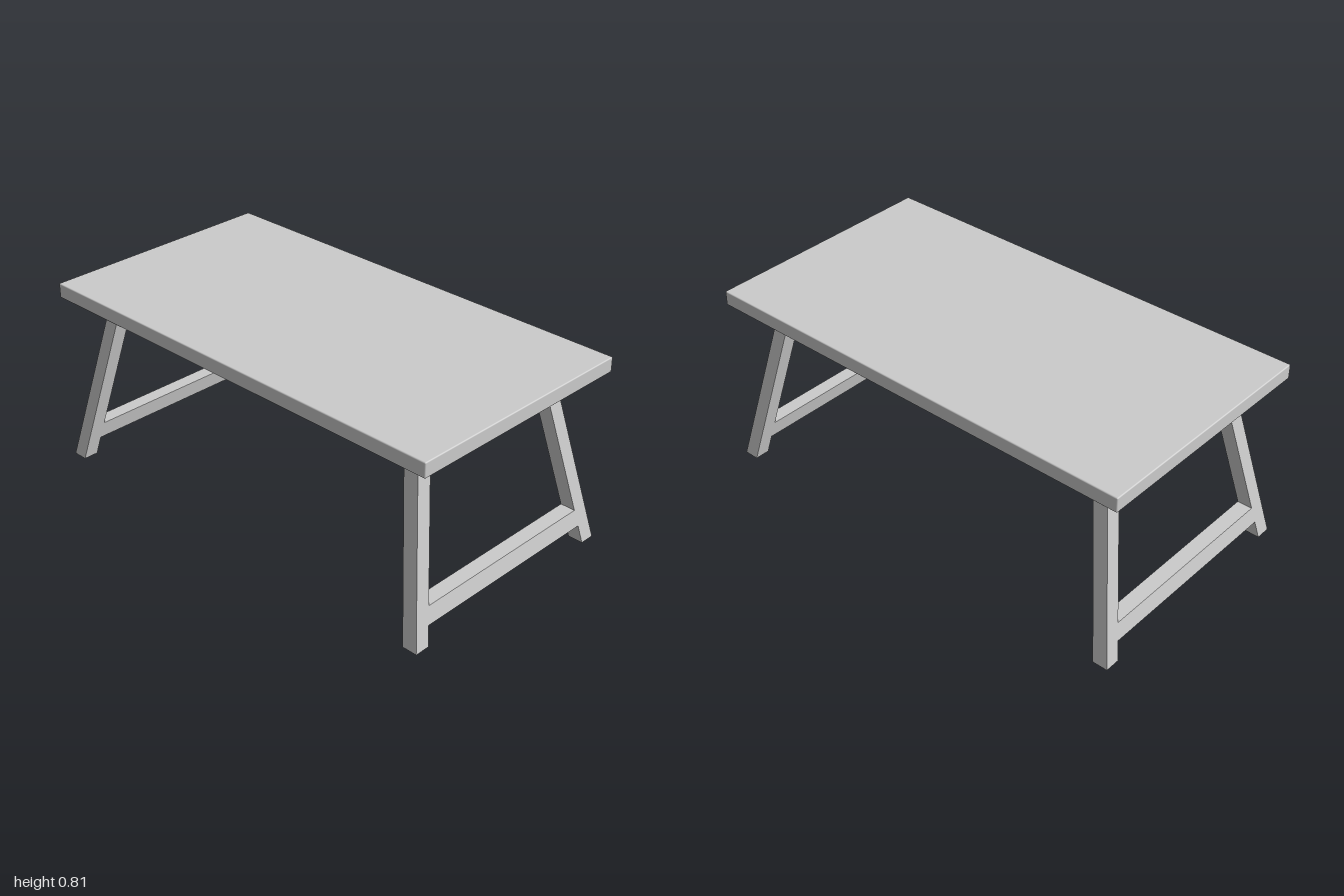
import * as THREE from 'three';
import { RoundedBoxGeometry } from 'three/addons/geometries/RoundedBoxGeometry.js';

const TOP_Y = 0.75;      // underside of the table top
const KNEE_Y = 0.682;    // where the legs begin to splay
const BAR = 0.066;       // thickness of legs and rails
const INNER_X = 0.791;   // inner face of the end frames at the knee
const SPLAY_X = 0.135;   // outward lean of the feet

const material = new THREE.MeshStandardMaterial({ color: 0xcccccc });

function addMesh(parent, name, geometry, x = 0, y = 0, z = 0) {
  const mesh = new THREE.Mesh(geometry, material);
  mesh.name = name;
  mesh.position.set(x, y, z);
  parent.add(mesh);
  return mesh;
}

// Two splayed legs joined by a low stretcher, leaning outwards towards +x
function legFrameGeometry() {
  const half = [
    [0.448, 0.08], [0.463, 0], [0.529, 0],
    [0.398, KNEE_Y], [0.332, KNEE_Y], [0.434, 0.153],
  ];
  const mirrored = half.map(([x, y]) => [-x, y]).reverse();
  const outline = [...half, ...mirrored].map(([x, y]) => new THREE.Vector2(x, y));
  const geometry = new THREE.ExtrudeGeometry(new THREE.Shape(outline), {
    depth: BAR, bevelEnabled: false,
  });
  geometry.rotateY(Math.PI / 2);

  // Shear outwards below the knee
  const pos = geometry.attributes.position;
  for (let i = 0; i < pos.count; i++) {
    const lean = SPLAY_X * (1 - pos.getY(i) / KNEE_Y);
    pos.setX(i, pos.getX(i) + INNER_X + lean);
  }
  geometry.computeVertexNormals();
  return geometry;
}

export function createModel() {
  const model = new THREE.Group();
  model.name = 'table';

  // Table top with finely eased edges
  addMesh(model, 'tableTop', new RoundedBoxGeometry(2, 0.064, 1.062, 2, 0.005), 0, TOP_Y + 0.032, 0);

  const base = new THREE.Group();
  base.name = 'base';
  base.position.x = -0.003;
  model.add(base);

  const railHeight = TOP_Y - KNEE_Y;
  const railY = KNEE_Y + railHeight / 2;

  // Single long rail under the middle of the top
  addMesh(base, 'centreRail', new THREE.BoxGeometry(INNER_X * 2, railHeight, BAR), 0, railY, 0);

  // End frames: an upper crossbar over a pair of legs with stretcher
  const legs = legFrameGeometry();
  const crossbar = new THREE.BoxGeometry(BAR, railHeight, 0.796);
  for (const [name, angle] of [['leftEndFrame', 0], ['rightEndFrame', Math.PI]]) {
    const frame = new THREE.Group();
    frame.name = name;
    frame.rotation.y = angle;
    addMesh(frame, 'crossbar', crossbar, INNER_X + BAR / 2, railY, 0);
    addMesh(frame, 'legsAndStretcher', legs);
    base.add(frame);
  }
  return model;
}
